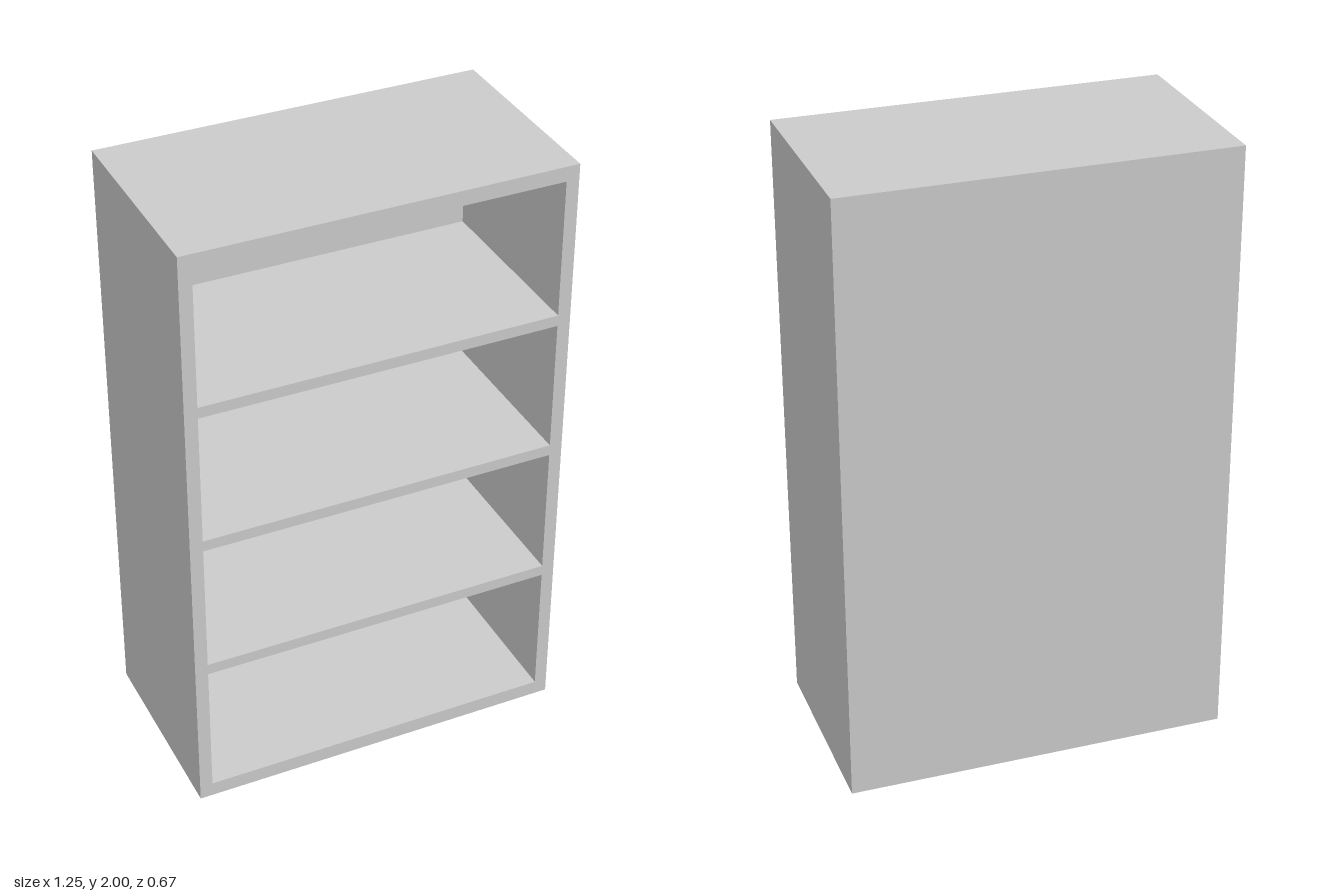
import * as THREE from 'three';

const W = 1.25, H = 2, D = 0.667;
const BACK = 0.045;     // back panel thickness
const INNER = 0.583;    // half width of the compartments
// bottom and top of each compartment
const BAYS = [[0.049, 0.505], [0.542, 0.9815], [1.0185, 1.458], [1.495, 1.951]];

// counter-clockwise rectangle
function rectangle(path, x0, y0, x1, y1) {
  path.moveTo(x0, y0);
  path.lineTo(x1, y0);
  path.lineTo(x1, y1);
  path.lineTo(x0, y1);
  path.closePath();
  return path;
}

export function createModel() {
  const group = new THREE.Group();
  group.name = 'bookcase';
  const material = new THREE.MeshStandardMaterial({ color: 0xcccccc });

  // sides, top, base and shelves as one flush frame with open compartments
  const outline = rectangle(new THREE.Shape(), -W / 2, 0, W / 2, H);
  for (const [low, high] of BAYS) {
    outline.holes.push(rectangle(new THREE.Path(), -INNER, low, INNER, high));
  }
  const frame = new THREE.Mesh(
    new THREE.ExtrudeGeometry(outline, { depth: D - BACK, bevelEnabled: false }),
    material
  );
  frame.name = 'frameWithShelves';
  frame.position.z = -D / 2 + BACK;
  group.add(frame);

  // back panel closing the compartments
  const back = new THREE.Mesh(new THREE.BoxGeometry(W, H, BACK), material);
  back.name = 'backPanel';
  back.position.set(0, H / 2, -D / 2 + BACK / 2);
  group.add(back);

  return group;
}
